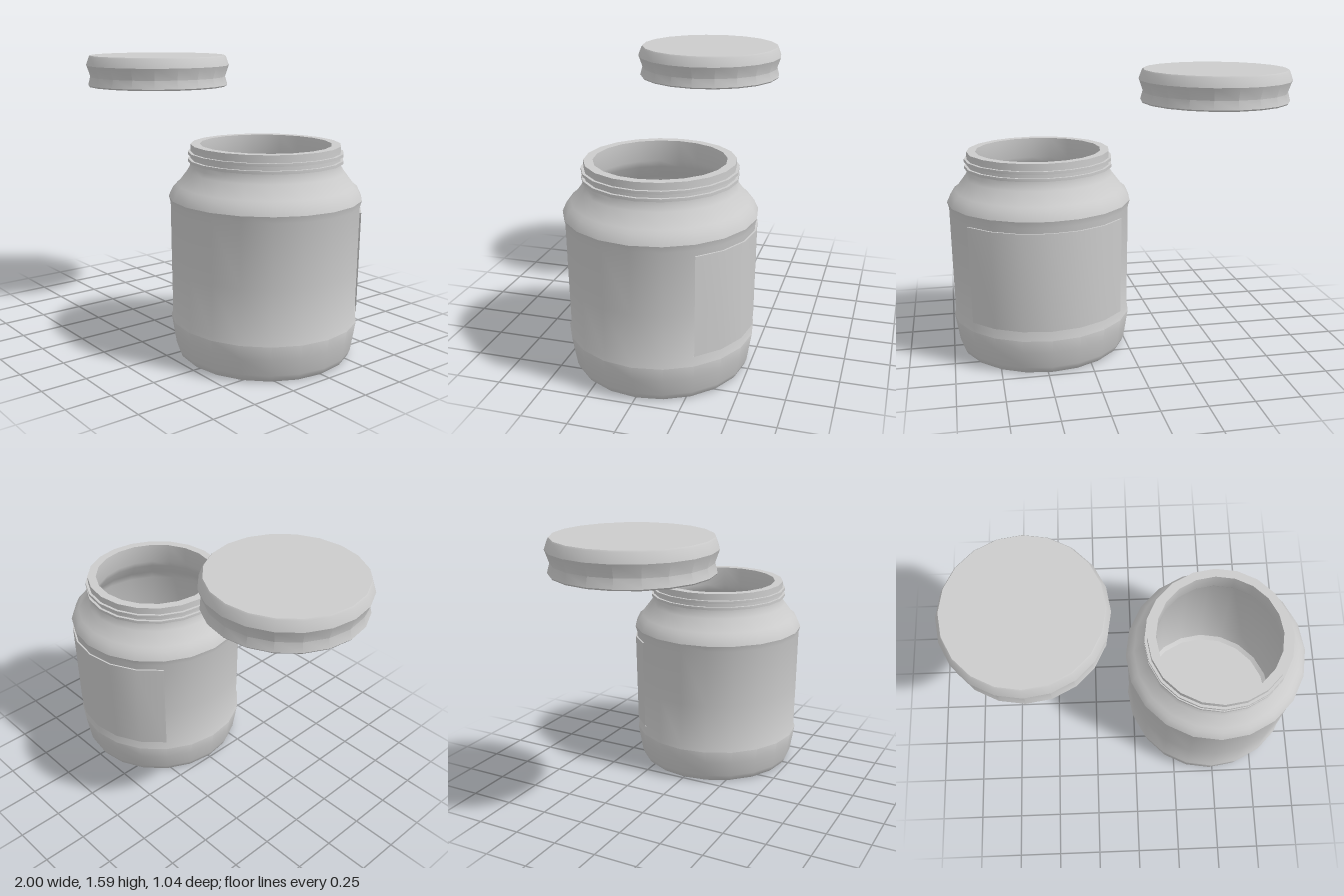
import * as THREE from 'three';
import { toCreasedNormals } from 'three/addons/utils/BufferGeometryUtils.js';

const SIDES = 20;
const grey = new THREE.MeshStandardMaterial({ color: 0xcccccc });
const greyDouble = new THREE.MeshStandardMaterial({ color: 0xcccccc, side: THREE.DoubleSide });

// Turned part from [radius, height] pairs
function turned(name, profile, { segments = SIDES, start = 0, sweep = Math.PI * 2, material = grey } = {}) {
  const points = profile.map(([r, y]) => new THREE.Vector2(r, y));
  const lathe = new THREE.LatheGeometry(points, segments, start, sweep);
  const mesh = new THREE.Mesh(toCreasedNormals(lathe, 0.65), material);
  mesh.name = name;
  return mesh;
}

export function createModel() {
  const model = new THREE.Group();
  model.name = 'jarWithLid';

  const jar = new THREE.Group();
  jar.name = 'jar';
  jar.position.x = 0.478;
  model.add(jar);

  // Glass body: outer wall up to the rim, then the cavity back down
  jar.add(turned('jarBody', [
    [0, 0], [0.46, 0], [0.472, 0.01], [0.485, 0.04], [0.5, 0.13], [0.512, 0.205], [0.503, 0.225],
    [0.507, 0.5], [0.511, 0.84], [0.521, 0.875], [0.498, 0.925], [0.475, 0.943],
    [0.42, 1.015], [0.406, 1.04], [0.402, 1.07], [0.402, 1.157],
    [0.353, 1.157], [0.353, 1.04], [0.37, 1.0], [0.43, 0.92], [0.465, 0.86],
    [0.455, 0.2], [0.435, 0.07], [0.41, 0.05], [0, 0.05],
  ]));

  // Two thread rings around the neck
  for (const y of [1.072, 1.11]) {
    jar.add(turned('neckThread', [
      [0.395, y - 0.008], [0.417, y - 0.008], [0.417, y + 0.008], [0.395, y + 0.008],
    ]));
  }

  // Blank label panel wrapped around the back
  jar.add(turned('labelPanel', [
    [0.5, 0.26], [0.511, 0.26], [0.52, 0.81], [0.509, 0.81],
  ], { segments: 6, start: Math.PI * 0.7, sweep: Math.PI * 0.6, material: greyDouble }));

  // Solid lid with a waist, floating beside the jar
  const lid = turned('lid', [
    [0, 1.402], [0.428, 1.402], [0.434, 1.41], [0.42, 1.46],
    [0.444, 1.53], [0.425, 1.582], [0.419, 1.59], [0, 1.59],
  ]);
  lid.position.x = -0.556;
  model.add(lid);

  return model;
}
